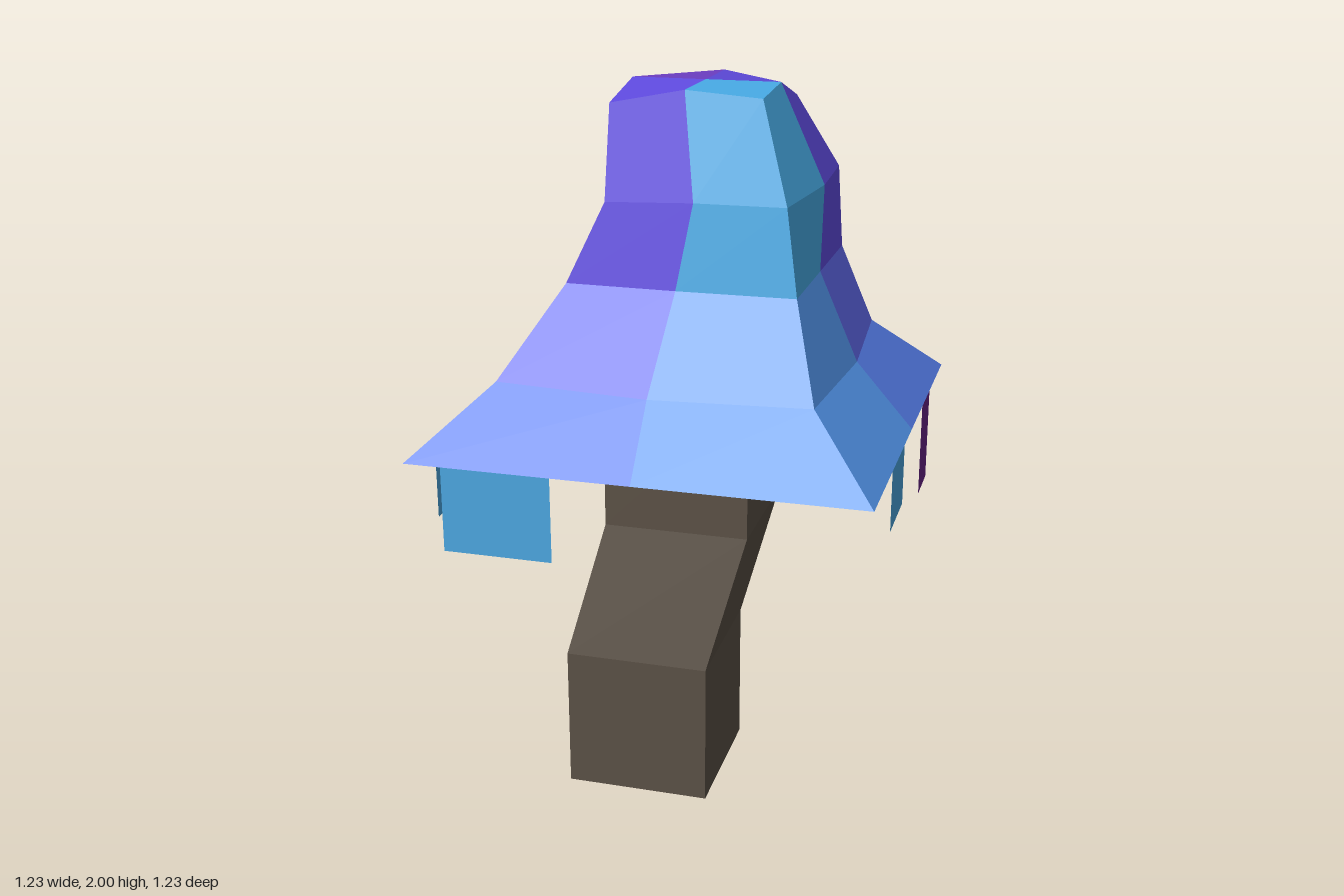
import * as THREE from 'three';

const flat = (name, color, double = false) => {
  const m = new THREE.MeshStandardMaterial({ color });
  m.name = name;
  if (double) m.side = THREE.DoubleSide;
  return m;
};

// Faceted mesh from quads { points: [a, b, c, d], material }, one normal per quad
function quadMesh(name, quads) {
  const positions = [];
  const normals = [];
  const materials = [];
  const geometry = new THREE.BufferGeometry();
  quads.forEach(({ points: [a, b, c, d], material }, i) => {
    const diagonal = (p, q) => new THREE.Vector3(...q).sub(new THREE.Vector3(...p));
    const normal = diagonal(a, c).cross(diagonal(b, d)).normalize();
    for (const p of [a, b, c, a, c, d]) {
      positions.push(...p);
      normals.push(...normal);
    }
    if (!materials.includes(material)) materials.push(material);
    geometry.addGroup(i * 6, 6, materials.indexOf(material));
  });
  geometry.setAttribute('position', new THREE.Float32BufferAttribute(positions, 3));
  geometry.setAttribute('normal', new THREE.Float32BufferAttribute(normals, 3));
  const mesh = new THREE.Mesh(geometry, materials);
  mesh.name = name;
  return mesh;
}

// Square ring, counterclockwise from above, starting at the front right corner
const square = (half, y, x = 0, z = 0) => [[-1, 1], [1, 1], [1, -1], [-1, -1]]
  .map(([sx, sz]) => [x + sx * half, y, z + sz * half]);

// Four quads joining two square rings
const band = (lower, upper, material) => lower.map((p, j) => {
  const k = (j + 1) % 4;
  return { points: [p, lower[k], upper[k], upper[j]], material };
});

export function createModel() {
  const bark = flat('bark', 0x5a5045);
  const cyan = flat('cyan', 0x48abe6);
  const sky = flat('skyBlue', 0x5090e4);
  const blue = flat('blue', 0x5278e2);
  const indigo = flat('indigo', 0x5c64e2);
  const purple = flat('purple', 0x604be0);
  const violet = flat('violet', 0x7040c8);
  const hangCyan = flat('hangingCyan', 0x4ba5de, true);
  const hangPlum = flat('hangingPlum', 0x662286, true);

  const model = new THREE.Group();
  model.name = 'mushroomTree';

  // Crooked square trunk, running up into the hollow of the cap
  const half = 0.204;
  const innerY = 1.2;
  const trunkRings = [
    square(half, 0, -0.097, 0.077),
    square(half, 0.41, -0.097, 0.077),
    square(half, 0.79, 0, 0.002),
    square(half, innerY, 0, 0.002),
  ];
  const trunkQuads = [{ points: [...trunkRings[0]].reverse(), material: bark }];
  for (let i = 0; i < 3; i++) trunkQuads.push(...band(trunkRings[i], trunkRings[i + 1], bark));
  model.add(quadMesh('trunk', trunkQuads));

  // Cap rings, eight points each: front right corner, then counterclockwise from above
  const r = 0.615;
  const ring = (y, pts) => pts.map(([x, z, py = y]) => [x, py, z]);
  const rings = [
    ring(1.08, [[-r, r], [0, r], [r, r], [r, 0], [r, -r], [0, -r], [-r, -r], [-r, 0]]),
    ring(1.26, [[-0.425, 0.425], [0, 0.465], [0.425, 0.425], [0.457, 0],
      [0.425, -0.425], [-0.01, -0.468], [-0.425, -0.425], [-0.468, -0.01]]),
    ring(1.5, [[-0.275, 0.28], [0.025, 0.285], [0.345, 0.28], [0.345, -0.02],
      [0.345, -0.338], [0.025, -0.338], [-0.275, -0.338], [-0.28, -0.02]]),
    ring(1.73, [[-0.183, 0.225, 1.71], [0.07, 0.275], [0.303, 0.222, 1.72], [0.345, -0.05],
      [0.33, -0.335], [0.07, -0.378], [-0.175, -0.335], [-0.21, -0.04]]),
    ring(2, [[-0.18, 0.18, 1.96], [0.022, 0.18], [0.227, 0.18, 1.985], [0.227, -0.025],
      [0.227, -0.228, 1.94], [0.022, -0.228], [-0.18, -0.228, 1.93], [-0.18, -0.025]]),
  ];
  const crown = [0.022, 2, -0.025];

  // Each quarter of the cap wraps one corner; colours run from brim to crown
  const side = [blue, indigo, purple, purple, purple];
  const quarters = [
    ['capFrontRight', 0, side],
    ['capFrontLeft', 2, [sky, sky, cyan, cyan, cyan]],
    ['capBackLeft', 4, side],
    ['capBackRight', 6, [indigo, purple, purple, violet, violet]],
  ];
  for (const [name, corner, colours] of quarters) {
    const before = (corner + 7) % 8;
    const after = corner + 1;
    const quads = [];
    for (let i = 0; i < 4; i++) {
      for (const [j, k] of [[before, corner], [corner, after]]) {
        quads.push({
          points: [rings[i][j], rings[i][k], rings[i + 1][k], rings[i + 1][j]],
          material: colours[i],
        });
      }
    }
    const top = rings[4];
    quads.push({ points: [top[before], top[corner], top[after], crown], material: colours[4] });
    model.add(quadMesh(name, quads));
  }

  // Hollow underside, rising from the brim to the trunk
  model.add(quadMesh('capUnderside', band(trunkRings[3], square(r, 1.08), bark)));

  // Strips hanging just inside the brim: [name, side, start, end, bottom y, material]
  const rim = 0.611;
  const strips = [
    ['frontStrip', 'front', -0.513, -0.215, 0.845, hangCyan],
    ['backCyanStrip', 'back', 0.07, 0.257, 0.873, hangCyan],
    ['backPlumStrip', 'back', -0.215, -0.028, 0.868, hangPlum],
    ['leftCyanStrip', 'left', 0.102, 0.307, 0.9, hangCyan],
    ['leftPlumStrip', 'left', -0.382, -0.232, 0.8, hangPlum],
    ['rightCyanStrip', 'right', 0.205, 0.422, 0.855, hangCyan],
    ['rightPlumStrip', 'right', -0.52, -0.315, 0.868, hangPlum],
  ];
  const turn = { front: 0, back: Math.PI, left: Math.PI / 2, right: -Math.PI / 2 };
  for (const [name, face, from, to, bottom, material] of strips) {
    const strip = new THREE.Mesh(new THREE.PlaneGeometry(to - from, 1.08 - bottom), material);
    const mid = (from + to) / 2;
    const y = (1.08 + bottom) / 2;
    if (face === 'front') strip.position.set(mid, y, rim);
    else if (face === 'back') strip.position.set(mid, y, -rim);
    else strip.position.set(face === 'left' ? rim : -rim, y, mid);
    strip.rotation.y = turn[face];
    strip.name = name;
    model.add(strip);
  }

  return model;
}
